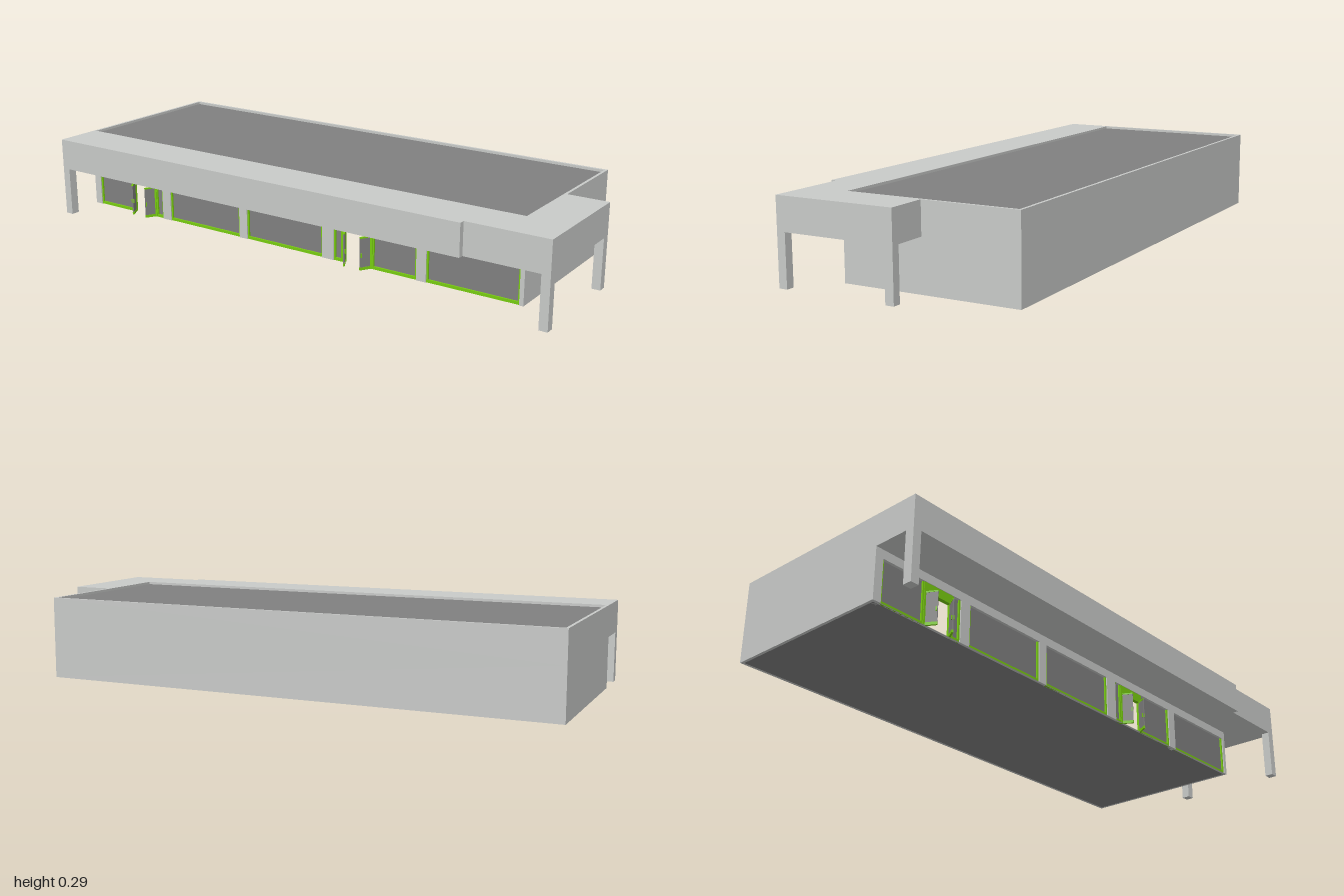
import * as THREE from 'three';

export function createModel() {
  const model = new THREE.Group();
  const material = (name, color) => {
    const m = new THREE.MeshStandardMaterial({ color });
    m.name = name;
    return m;
  };
  const wall = material('lightGrey', 0xc8cac8);
  const dark = material('darkGrey', 0x808080);
  const green = material('greenFrame', 0x78cc10);

  const add = (name, geometry, mat, parent = model) => {
    const mesh = new THREE.Mesh(geometry, mat);
    mesh.name = name;
    parent.add(mesh);
    return mesh;
  };
  // Box given by its two extreme corners
  const box = (name, x0, x1, y0, y1, z0, z1, mat, parent) =>
    add(name, new THREE.BoxGeometry(x1 - x0, y1 - y0, z1 - z0)
      .translate((x0 + x1) / 2, (y0 + y1) / 2, (z0 + z1) / 2), mat, parent);
  // Points are [x, z] on plan; the shape is later laid flat
  const plan = pts => pts.map(([x, z]) => new THREE.Vector2(x, -z));
  const rect = (x0, x1, z0, z1) => plan([[x0, z0], [x0, z1], [x1, z1], [x1, z0]]);

  const L = -1, R = 0.855, BACK = -0.392, FACE = 0.235, FRONT = 0.392;
  const SOFFIT = 0.178, TOP = 0.29, HEAD = 0.148;

  // Roof band with its projecting canopy, open over the sunken roof
  const outline = new THREE.Shape(plan([
    [L, BACK], [L, FRONT], [0.71, FRONT], [0.71, 0.372],
    [1, 0.372], [1, -0.053], [R, -0.053], [R, BACK]]));
  outline.holes.push(new THREE.Path(rect(L + 0.01, R - 0.01, BACK + 0.01, 0.222)));
  add('canopyAndParapet', new THREE.ExtrudeGeometry(outline,
    { depth: TOP - SOFFIT, bevelEnabled: false })
    .rotateX(-Math.PI / 2).translate(0, SOFFIT, 0), wall);
  add('roof', new THREE.ShapeGeometry(new THREE.Shape(rect(L + 0.01, R - 0.01, BACK + 0.01, 0.222)))
    .rotateX(-Math.PI / 2).translate(0, 0.281, 0), dark);

  // Outer walls: single outward faces below the roof band
  const wallPlane = (name, width, x, z, turn) =>
    add(name, new THREE.PlaneGeometry(width, SOFFIT).rotateY(turn).translate(x, SOFFIT / 2, z), wall);
  const midZ = (BACK + FACE) / 2, depth = FACE - BACK;
  wallPlane('backWall', R - L, (L + R) / 2, BACK, Math.PI);
  wallPlane('leftWall', depth, R, midZ, Math.PI / 2);
  wallPlane('rightWall', depth, L, midZ, -Math.PI / 2);

  // Underside: dark floor with a pale rim of wall around it
  const floorRect = rect(L + 0.01, R - 0.01, BACK + 0.01, FACE - 0.01);
  const rim = new THREE.Shape(rect(L, R, BACK, FACE));
  rim.holes.push(new THREE.Path(floorRect));
  for (const [name, shape, mat] of [['floor', new THREE.Shape(floorRect), dark], ['wallFoot', rim, wall]]) {
    const g = new THREE.ShapeGeometry(shape).rotateX(-Math.PI / 2);
    const index = g.index.array;
    for (let i = 0; i < index.length; i += 3) [index[i], index[i + 1]] = [index[i + 1], index[i]];
    g.computeVertexNormals();
    add(name, g, mat);
  }

  // Canopy columns
  for (const [x, z] of [[L, FRONT - 0.032], [0.97, 0.342], [0.97, -0.053]])
    box('column', x, x + 0.03, 0, SOFFIT, z, z + (z > 0.35 ? 0.032 : 0.03), wall);

  // Shop front: header, piers between the bays
  const bays = [[-0.97, -0.645], [-0.605, -0.273], [-0.238, 0.092], [0.14, 0.468], [0.505, 0.84]];
  box('header', L, R, HEAD, SOFFIT, 0.215, FACE, wall);
  const edges = [L, ...bays.flat(), R];
  for (let i = 0; i < edges.length; i += 2)
    box('pier', edges[i], edges[i + 1], 0, HEAD, 0.215, FACE, wall);

  // A pane with green sill and side frames
  const glazing = (x0, x1) => {
    const g = new THREE.Group();
    g.name = 'window';
    model.add(g);
    box('pane', x0, x1, 0, HEAD, 0.219, 0.225, dark, g);
    box('sill', x0, x1, 0, 0.01, 0.225, 0.231, green, g);
    for (const x of [x0, x1 - 0.006]) box('sideFrame', x, x + 0.006, 0.01, HEAD, 0.225, 0.231, green, g);
  };
  // Double door with both leaves standing open
  const entrance = (x0, x1) => {
    const g = new THREE.Group();
    g.name = 'entrance';
    model.add(g);
    box('doorHead', x0, x1, 0.117, HEAD, 0.219, 0.233, green, g);
    for (const x of [x0, x1 - 0.008]) box('doorPost', x, x + 0.008, 0, 0.117, 0.219, 0.233, green, g);
    for (const side of [1, -1]) {
      const leaf = new THREE.Group();
      leaf.name = 'doorLeaf';
      leaf.position.set(side > 0 ? x0 + 0.008 : x1 - 0.008, 0, 0.23);
      leaf.rotation.y = side > 0 ? -1.05 : Math.PI + 1.05;
      g.add(leaf);
      box('leafPanel', 0, 0.04, 0.01, 0.115, -0.002, 0.002, dark, leaf);
      box('leafBottomRail', 0, 0.04, 0, 0.01, -0.003, 0.003, green, leaf);
      box('leafTopRail', 0, 0.04, 0.112, 0.117, -0.003, 0.003, green, leaf);
      box('handle', 0.034, 0.038, 0.045, 0.06, -0.005, 0.005, green, leaf);
    }
  };
  glazing(-0.97, -0.80);
  entrance(-0.80, -0.68);
  glazing(-0.68, -0.645);
  glazing(...bays[1]);
  glazing(...bays[2]);
  glazing(0.14, 0.175);
  entrance(0.175, 0.295);
  glazing(0.295, 0.468);
  glazing(...bays[4]);

  return model;
}
